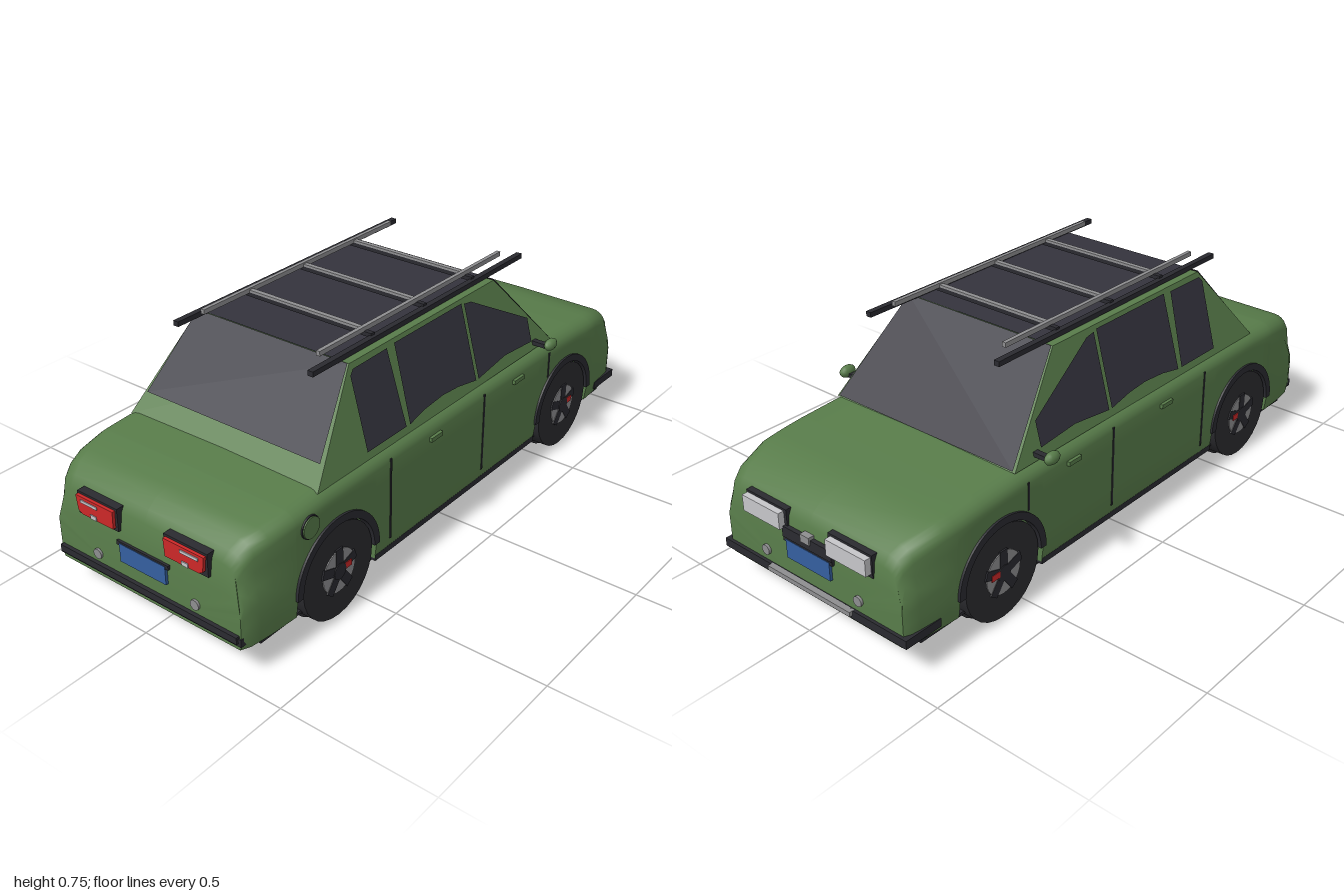
import * as THREE from 'three';
import { toCreasedNormals } from 'three/addons/utils/BufferGeometryUtils.js';

const mat = (name, color, side = THREE.FrontSide) => {
  const m = new THREE.MeshStandardMaterial({ color, side });
  m.name = name;
  return m;
};

export function createModel() {
  const car = new THREE.Group();
  car.name = 'car';
  const green = mat('greenPaint', 0x587c4a);
  const glass = mat('darkGlass', 0x34333d, THREE.DoubleSide);
  const trim = mat('blackTrim', 0x2a2a30);
  const rubber = mat('rubber', 0x2b2b2f);
  const grey = mat('greyMetal', 0x8e8e90);
  const lamp = mat('clearLamp', 0xc6c6ca);
  const red = mat('redLamp', 0xcc2828);
  const blue = mat('bluePlate', 0x355f9f);

  const add = (name, geo, m, x = 0, y = 0, z = 0) => {
    const mesh = new THREE.Mesh(geo, m);
    mesh.name = name;
    mesh.position.set(x, y, z);
    car.add(mesh);
    return mesh;
  };
  // box given by its limits on each axis
  const box = (name, m, [x0, x1], [y0, y1], [z0, z1]) =>
    add(name, new THREE.BoxGeometry(x1 - x0, y1 - y0, z1 - z0), m, (x0 + x1) / 2, (y0 + y1) / 2, (z0 + z1) / 2);
  const pairBox = (name, m, [x0, x1], y, z) => {
    box(name + 'Left', m, [x0, x1], y, z);
    box(name + 'Right', m, [-x1, -x0], y, z);
  };
  // the same geometry on both flanks
  const pair = (name, geo, m) => {
    add(name + 'Left', geo, m);
    add(name + 'Right', geo, m).scale.x = -1;
  };
  // (z, y) outline extruded inwards from x
  const flankPlate = (shape, depth, x) =>
    new THREE.ExtrudeGeometry(shape, { depth, bevelEnabled: false, curveSegments: 24 })
      .rotateY(-Math.PI / 2).translate(x, 0, 0);
  const shapeOf = (pts) => new THREE.Shape(pts.map((p) => new THREE.Vector2(...p)));
  const lerp = (table, v) => {
    if (v <= table[0][0]) return table[0][1];
    for (let i = 1; i < table.length; i++) {
      const [a, p] = table[i - 1], [b, q] = table[i];
      if (v <= b) return p + (q - p) * (v - a) / (b - a);
    }
    return table[table.length - 1][1];
  };

  // lower body: cross-sections along z, with tunnels for the wheels
  const axles = [0.61, -0.607], archR = 0.172, axleY = 0.16;
  const topLine = [[-0.972, 0.27], [-0.966, 0.33], [-0.95, 0.365], [-0.92, 0.388], [-0.82, 0.417], [-0.68, 0.43],
    [-0.53, 0.438], [0, 0.445], [0.66, 0.445], [0.78, 0.438], [0.87, 0.425], [0.92, 0.41], [0.95, 0.385],
    [0.968, 0.35], [0.98, 0.27]];
  const halfWidth = [[0, 0.38], [0.75, 0.38], [0.88, 0.374], [0.95, 0.365], [0.98, 0.352]];
  const stations = topLine.map(([z]) => [z, 0.1]);
  for (const c of axles) {
    stations.push([c - archR - 0.001, 0.1], [c + archR + 0.001, 0.1]);
    for (let i = 0; i <= 16; i++) {
      const a = Math.PI * i / 16;
      stations.push([c + archR * Math.cos(a), axleY + archR * Math.sin(a)]);
    }
  }
  // stations of the outline that fall inside an arch take the arch height
  for (const s of stations) for (const c of axles) {
    const d = Math.abs(s[0] - c);
    if (d < archR) s[1] = axleY + Math.sqrt(archR * archR - d * d);
  }
  stations.sort((a, b) => a[0] - b[0]);
  const pos = [], index = [];
  let ring = 0;
  for (const [z, yb] of stations) {
    const yt = lerp(topLine, z), w = lerp(halfWidth, Math.abs(z));
    const end = Math.max(0, (Math.abs(z) - 0.78) / 0.19);
    const half = [];
    for (let i = 0; i <= 6; i++) {
      const y = yb + (yt - 0.045 - yb) * i / 6;
      const upper = THREE.MathUtils.smoothstep(y, 0.24, 0.3);
      half.push([w - 0.025 * end * end * upper - (y < 0.12 ? 0.006 : 0), y]);
    }
    const sx = half[6][0];
    for (let i = 1; i <= 5; i++) {
      const a = Math.PI / 2 * i / 5;
      half.push([sx - 0.05 * (1 - Math.cos(a)), yt - 0.045 + 0.042 * Math.sin(a)]);
    }
    const pts = [[0, yb], ...half, [0, yt], ...half.slice().reverse().map(([x, y]) => [-x, y])];
    ring = pts.length;
    for (const [x, y] of pts) pos.push(x, y, z);
  }
  const last = (stations.length - 1) * ring;
  for (let i = 0; i < last; i += ring) for (let j = 0; j < ring; j++) {
    const k = (j + 1) % ring, a = i + j, b = i + k;
    index.push(a, b, b + ring, a, b + ring, a + ring);
  }
  for (let j = 1; j < ring - 1; j++) index.push(0, j + 1, j, last, last + j, last + j + 1);
  const bodyGeo = new THREE.BufferGeometry();
  bodyGeo.setAttribute('position', new THREE.Float32BufferAttribute(pos, 3));
  bodyGeo.setIndex(index);
  add('lowerBody', toCreasedNormals(bodyGeo, 0.7), green);

  // cabin: a box drawn in towards the roof
  const cabinGeo = new THREE.BoxGeometry(2, 1, 2);
  const cp = cabinGeo.attributes.position;
  for (let i = 0; i < cp.count; i++) {
    const up = cp.getY(i) > 0, rear = cp.getZ(i) > 0;
    cp.setXYZ(i, cp.getX(i) * (up ? 0.285 : 0.36), up ? 0.71 : 0.435, rear ? (up ? 0.44 : 0.67) : (up ? -0.28 : -0.53));
  }
  cabinGeo.computeVertexNormals();
  add('cabin', cabinGeo, green);

  // glass
  const pane = (name, w0, y0, z0, w1, y1, z1) => {
    const g = new THREE.PlaneGeometry(2, 1);
    const p = g.attributes.position;
    for (let i = 0; i < 4; i++) {
      const up = p.getY(i) > 0;
      p.setXYZ(i, p.getX(i) * (up ? w1 : w0), up ? y1 : y0, up ? z1 : z0);
    }
    g.computeVertexNormals();
    add(name, g, glass);
  };
  pane('windscreen', 0.352, 0.44, -0.531, 0.283, 0.712, -0.284);
  pane('rearWindow', 0.332, 0.497, 0.625, 0.283, 0.712, 0.444);
  pane('roofPanel', 0.262, 0.713, 0.443, 0.262, 0.713, -0.283);
  const windows = [
    [[0.45, 0.46], [0.45, 0.68], [0.435, 0.695], [0.28, 0.697], [0.268, 0.46]],
    [[0.25, 0.46], [0.245, 0.7], [-0.092, 0.7], [-0.092, 0.46], [0, 0.475], [0.08, 0.48], [0.17, 0.474]],
    [[-0.105, 0.46], [-0.105, 0.695], [-0.14, 0.69], [-0.415, 0.545], [-0.415, 0.467], [-0.26, 0.477]],
  ];
  for (const pts of windows) {
    const g = new THREE.ShapeGeometry(shapeOf(pts));
    const p = g.attributes.position;
    for (let i = 0; i < p.count; i++) {
      const z = p.getX(i), y = p.getY(i);
      p.setXYZ(i, 0.365 - 0.075 * (y - 0.435) / 0.275, y, z);
    }
    g.computeVertexNormals();
    pair('sideWindow', g, glass);
  }

  // wheels on full-width axle drums
  const disc = (r, w, n = 28) => new THREE.CylinderGeometry(r, r, w, n).rotateZ(Math.PI / 2);
  for (const c of axles) {
    add('axleDrum', disc(0.16, 0.66), rubber, 0, axleY, c);
    const arch = new THREE.Shape();
    arch.absarc(c, axleY, 0.181, 0, Math.PI, false);
    arch.absarc(c, axleY, 0.157, Math.PI, 0, true);
    pair('wheelArch', flankPlate(arch, 0.03, 0.387), trim);
    for (const s of [1, -1]) {
      add('tyre', disc(0.152, 0.06), rubber, s * 0.35, axleY, c);
      add('rim', disc(0.07, 0.006), grey, s * 0.38, axleY, c);
      add('hub', disc(0.026, 0.012, 16), trim, s * 0.381, axleY, c);
      for (let i = 0; i < 5; i++) {
        const a = Math.PI / 2 + i * Math.PI * 0.4;
        add('spoke', new THREE.BoxGeometry(0.008, 0.056, 0.03), trim, s * 0.381,
          axleY + 0.047 * Math.sin(a), c + 0.047 * Math.cos(a)).rotation.x = Math.PI / 2 - a;
      }
      add('brakeCaliper', new THREE.BoxGeometry(0.006, 0.02, 0.032), red, s * 0.384, axleY + 0.005, c - 0.035);
    }
  }

  // underside, sills and bumpers
  box('floor', trim, [-0.355, 0.355], [0.082, 0.092], [-0.91, 0.91]);
  box('sill', trim, [-0.376, 0.376], [0.092, 0.112], [-0.434, 0.437]);
  box('frontBumper', trim, [-0.375, 0.375], [0.113, 0.14], [-0.982, -0.85]);
  box('rearBumper', trim, [-0.355, 0.355], [0.115, 0.14], [0.9, 0.985]);
  box('rearBumperLip', trim, [-0.345, 0.345], [0.125, 0.147], [0.96, 0.992]);
  box('frontSkidBar', grey, [-0.17, 0.17], [0.125, 0.14], [-0.993, -0.975]);

  // door gaps, handles and filler cap
  pairBox('rearDoorGap', trim, [0.375, 0.382], [0.14, 0.41], [0.367, 0.374]);
  pairBox('middleDoorGap', trim, [0.375, 0.382], [0.14, 0.41], [-0.113, -0.106]);
  pairBox('frontDoorGap', trim, [0.375, 0.382], [0.31, 0.4], [-0.5, -0.493]);
  for (const z of [0.155, -0.3]) pairBox('doorHandle', green, [0.375, 0.39], [0.378, 0.392], [z - 0.028, z + 0.028]);
  add('fillerRing', disc(0.036, 0.012, 20), trim, 0.378, 0.37, 0.728);
  add('fillerCap', disc(0.033, 0.016, 20), green, 0.38, 0.37, 0.728);

  // mirrors
  for (const s of [1, -1]) {
    box('mirrorArm', trim, s > 0 ? [0.345, 0.405] : [-0.405, -0.345], [0.45, 0.464], [-0.445, -0.425]);
    add('mirror', new THREE.SphereGeometry(1, 12, 8), green, s * 0.415, 0.466, -0.437).scale.set(0.017, 0.02, 0.03);
  }

  // roof rails and ladder rack
  pairBox('roofRail', trim, [0.243, 0.262], [0.712, 0.728], [-0.48, 0.565]);
  pairBox('rackRail', grey, [0.211, 0.224], [0.733, 0.748], [-0.41, 0.49]);
  for (const z of [-0.215, 0.037, 0.288]) {
    box('rackRung', grey, [-0.215, 0.215], [0.735, 0.743], [z - 0.008, z + 0.008]);
    box('rackSupport', trim, [-0.25, 0.25], [0.722, 0.735], [z - 0.008, z + 0.008]);
  }

  // tail lamps
  const lampShape = shapeOf([[0.1, 0.303], [0.225, 0.303], [0.24, 0.312], [0.246, 0.36], [0.097, 0.36]]);
  const lampGeo = new THREE.ExtrudeGeometry(lampShape, { depth: 0.035, bevelEnabled: false });
  pair('tailLamp', lampGeo.translate(0, 0, 0.96), red);
  pairBox('tailLampHousing', trim, [0.09, 0.25], [0.294, 0.367], [0.93, 0.985]);
  pairBox('tailLampStrip', lamp, [0.16, 0.226], [0.342, 0.351], [0.99, 0.998]);
  pairBox('reversingLamp', lamp, [0.165, 0.188], [0.304, 0.317], [0.99, 0.998]);

  // headlamps and grille
  pairBox('headlampHousing', trim, [0.085, 0.255], [0.28, 0.352], [-0.975, -0.93]);
  pairBox('headlamp', lamp, [0.095, 0.25], [0.293, 0.345], [-0.995, -0.95]);
  box('grille', trim, [-0.1, 0.1], [0.265, 0.3], [-0.983, -0.95]);
  box('grilleBadgePlate', grey, [-0.018, 0.018], [0.285, 0.31], [-0.988, -0.95]);

  // plates and fog lamps at both ends
  for (const [z, s] of [[0.982, 1], [-0.975, -1]]) {
    add('numberPlate', new THREE.BoxGeometry(0.178, 0.06, 0.009), blue, 0, 0.229, z + s * 0.003);
    add('plateTrim', new THREE.BoxGeometry(0.2, 0.014, 0.012), trim, 0, 0.258, z);
    for (const x of [-0.19, 0.19])
      add('fogLamp', new THREE.CylinderGeometry(0.016, 0.016, 0.01, 16).rotateX(Math.PI / 2), grey, x, 0.178, z);
  }
  return car;
}
